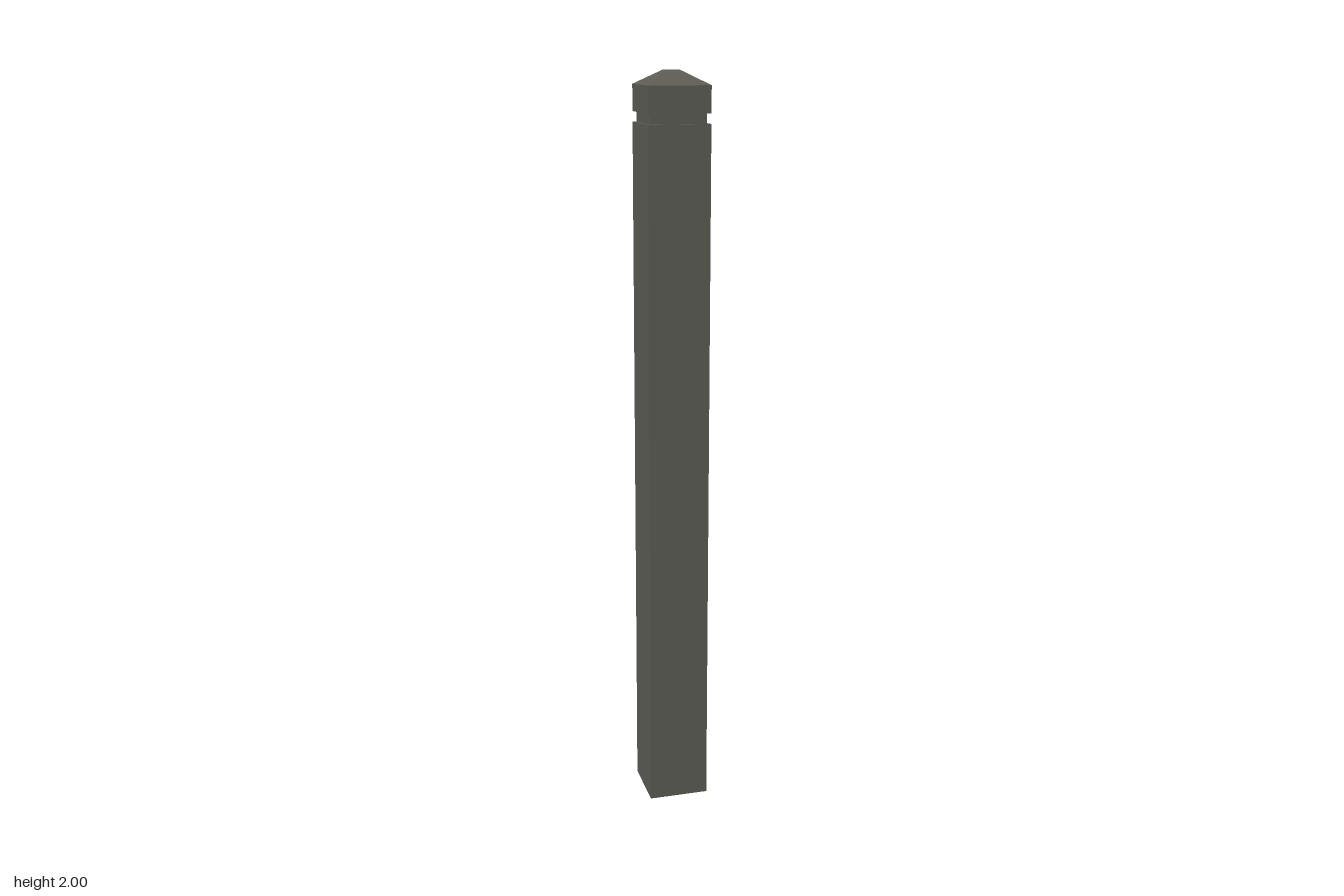
import * as THREE from 'three';

// Square section between two heights, with half-widths at bottom and top
function squareSection(y0, y1, halfBottom, halfTop) {
  const g = new THREE.CylinderGeometry(
    halfTop * Math.SQRT2, halfBottom * Math.SQRT2, y1 - y0, 4
  ).rotateY(Math.PI / 4).translate(0, (y0 + y1) / 2, 0).toNonIndexed();
  g.computeVertexNormals(); // crisp faces
  return g;
}

export function createModel() {
  const group = new THREE.Group();
  group.name = 'bollardPost';

  const paint = new THREE.MeshStandardMaterial({ color: 0x5c5c54 });
  paint.name = 'dark grey paint';

  const parts = [
    ['shaft', 0, 1.87, 0.082, 0.082],
    ['neckGroove', 1.87, 1.896, 0.073, 0.073],
    ['capBlock', 1.896, 1.964, 0.082, 0.082],
    ['capSlope', 1.964, 2, 0.082, 0.018],
  ];
  for (const [name, ...dims] of parts) {
    const mesh = new THREE.Mesh(squareSection(...dims), paint);
    mesh.name = name;
    group.add(mesh);
  }
  return group;
}
